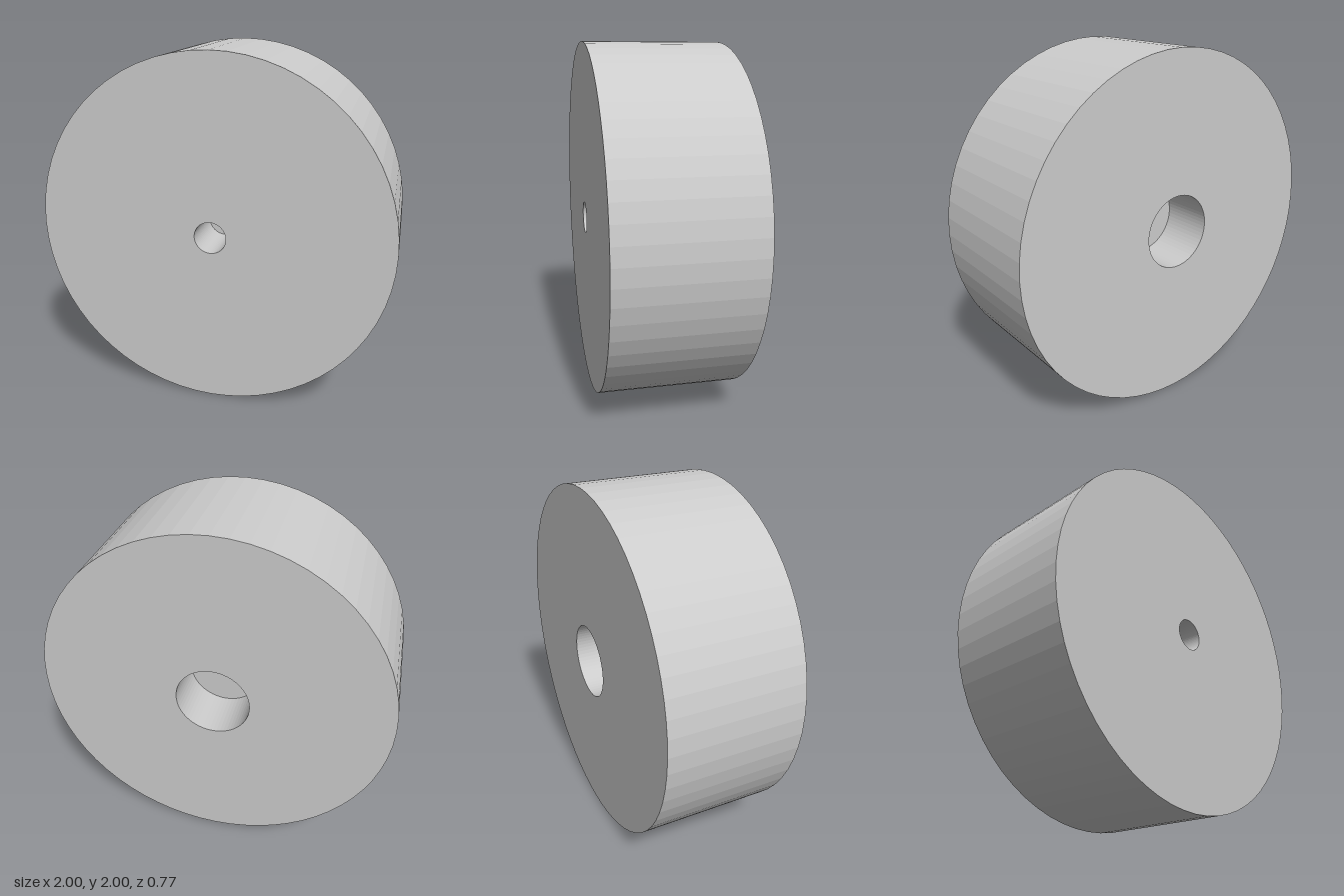
import * as THREE from 'three';

const RADIUS = 1;
const HALF_DEPTH = 0.384;
const FRONT_HOLE = { radius: 0.09, depth: 0.3 };
const BACK_HOLE = { radius: 0.21, depth: 0.3 };

export function createModel() {
  const group = new THREE.Group();
  group.name = 'wheel';

  // Half section from the back recess floor, around the rim, to the front recess floor
  const backFloor = -HALF_DEPTH + BACK_HOLE.depth;
  const frontFloor = HALF_DEPTH - FRONT_HOLE.depth;
  const section = [
    [0, backFloor],
    [BACK_HOLE.radius, backFloor],
    [BACK_HOLE.radius, -HALF_DEPTH],
    [RADIUS, -HALF_DEPTH],
    [RADIUS, HALF_DEPTH],
    [FRONT_HOLE.radius, HALF_DEPTH],
    [FRONT_HOLE.radius, frontFloor],
    [0, frontFloor],
  ].map(([r, z]) => new THREE.Vector2(r, z));

  // Turn the section and lay its axis along z
  const geometry = new THREE.LatheGeometry(section, 64).toNonIndexed();
  geometry.rotateX(Math.PI / 2);
  geometry.computeVertexNormals();

  const material = new THREE.MeshStandardMaterial({ color: 0xcccccc, flatShading: true });
  const disc = new THREE.Mesh(geometry, material);
  disc.name = 'wheelDisc';
  disc.position.y = RADIUS;
  group.add(disc);

  return group;
}
